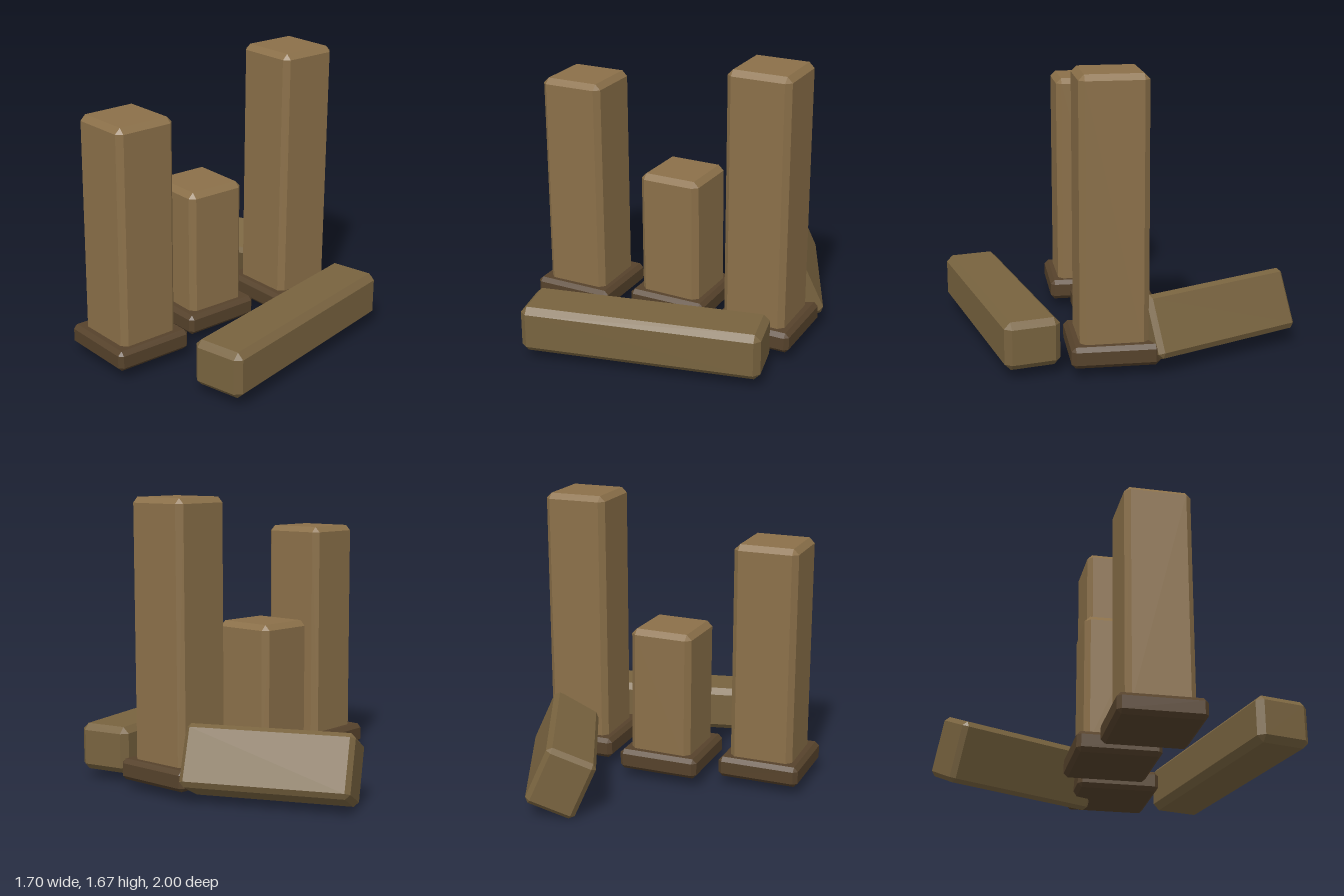
import * as THREE from 'three';
import { ConvexGeometry } from 'three/addons/geometries/ConvexGeometry.js';

const stone = (color) => new THREE.MeshStandardMaterial({ color, flatShading: true });

// Box with every edge and corner cut off by c
function chamferedBox(w, h, d, c) {
  const points = [];
  const [x, y, z] = [w / 2, h / 2, d / 2];
  for (const sx of [-1, 1]) for (const sy of [-1, 1]) for (const sz of [-1, 1]) {
    points.push(
      new THREE.Vector3(sx * x, sy * (y - c), sz * (z - c)),
      new THREE.Vector3(sx * (x - c), sy * y, sz * (z - c)),
      new THREE.Vector3(sx * (x - c), sy * (y - c), sz * z)
    );
  }
  return new ConvexGeometry(points);
}

function block(name, size, chamfer, position, material) {
  const mesh = new THREE.Mesh(chamferedBox(...size, chamfer), material);
  mesh.name = name;
  mesh.position.set(...position);
  return mesh;
}

export function createModel() {
  const group = new THREE.Group();
  group.name = 'pillarRuins';
  const pillarStone = stone(0x8b7049);
  const fallenStone = stone(0x78633f);
  const baseStone = stone(0x56422b);

  // Standing pillars, each on a square base slab
  const pillars = [
    { name: 'rightPillar', x: -0.605, z: 0.105, top: 1.465, twist: 0.012, lean: 0.003 },
    { name: 'middlePillar', x: -0.015, z: -0.005, top: 0.928, twist: -0.02, lean: 0.006 },
    { name: 'leftPillar', x: 0.583, z: 0.105, top: 1.675, twist: 0.012, lean: -0.002 },
  ];
  const foot = 0.12;
  for (const { name, x, z, top, twist, lean } of pillars) {
    const pillar = new THREE.Group();
    pillar.name = name;
    pillar.position.set(x, 0, z);
    const shaft = block('shaft', [0.38, top - foot, 0.385], 0.032, [0, (top + foot) / 2, 0.002], pillarStone);
    shaft.rotation.set(0, twist, lean);
    pillar.add(block('base', [0.49, 0.122, 0.49], 0.024, [0, 0.122, 0], baseStone), shaft);
    group.add(pillar);
  }

  // Fallen block lying flat in front
  const front = block('frontFallenBlock', [1.39, 0.275, 0.32], 0.036, [0.1, 0.198, 0.7], fallenStone);
  front.rotation.y = THREE.MathUtils.degToRad(12.4);

  // Fallen block behind, rolled onto its edge
  const back = block('backFallenBlock', [0.3, 0.36, 0.96], 0.027, [0.476, 0.2175, -0.492], fallenStone);
  back.rotation.set(0, THREE.MathUtils.degToRad(24.5), THREE.MathUtils.degToRad(24));

  group.add(front, back);
  return group;
}
